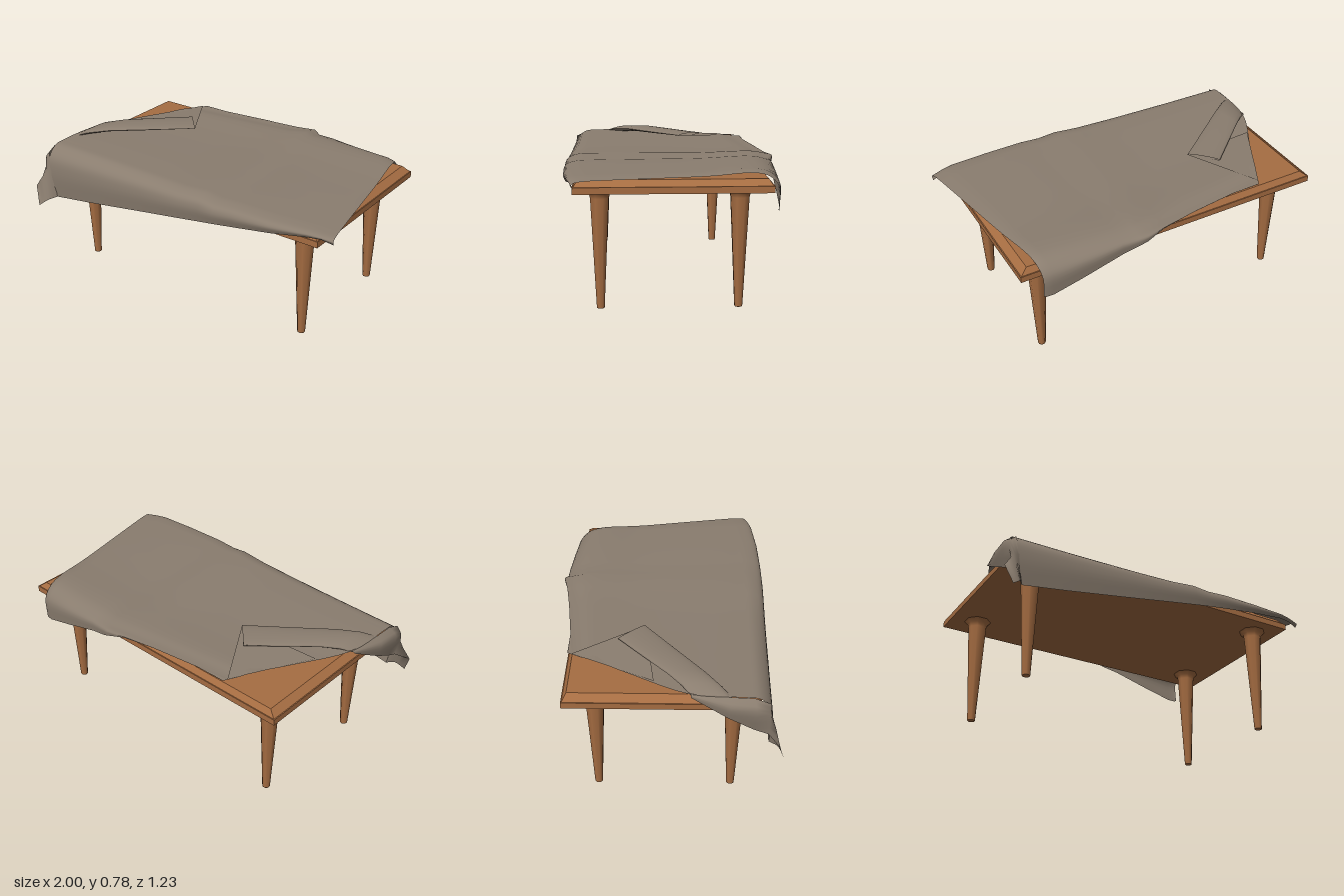
import * as THREE from 'three';

const wood = new THREE.MeshStandardMaterial({ color: 0xa66d42 });
wood.name = 'warm wood';
const fabric = new THREE.MeshStandardMaterial({ color: 0x8a7d6f, side: THREE.DoubleSide });
fabric.name = 'taupe cloth';

const lerp = THREE.MathUtils.lerp;
const V = (x, y, z) => new THREE.Vector3(x, y, z);

// Surface through rows of points; each row is smoothed into `steps` pieces
function skin(rows, steps) {
  const pos = [], index = [];
  rows.forEach((row, i) => {
    const pts = row.length > 2 ? new THREE.CatmullRomCurve3(row).getPoints(steps) : row;
    const n = pts.length;
    pts.forEach((p, j) => {
      pos.push(p.x, p.y, p.z);
      if (i && j) {
        const a = (i - 1) * n + j - 1, b = a + 1, c = a + n, d = c + 1;
        index.push(a, b, c, b, d, c);
      }
    });
  });
  const g = new THREE.BufferGeometry();
  g.setAttribute('position', new THREE.Float32BufferAttribute(pos, 3));
  g.setIndex(index);
  g.computeVertexNormals();
  return g;
}

function add(parent, name, geometry, material) {
  const mesh = new THREE.Mesh(geometry, material);
  mesh.name = name;
  parent.add(mesh);
  return mesh;
}

function buildTable() {
  const table = new THREE.Group();
  table.name = 'table';

  // Slab with a sloped upper border
  add(table, 'tabletopSlab', new THREE.BoxGeometry(1.81, 0.035, 1.02), wood).position.set(0, 0.652, -0.02);
  let bevel = new THREE.CylinderGeometry(Math.SQRT1_2 * 0.955, Math.SQRT1_2, 0.032, 4);
  bevel.rotateY(Math.PI / 4);
  bevel.scale(1.8, 1, 1.01);
  bevel = bevel.toNonIndexed();
  bevel.computeVertexNormals();
  add(table, 'tabletopBevel', bevel, wood).position.set(0, 0.685, -0.02);

  // Tapered legs flaring into the underside
  const profile = [[0, 0], [0.021, 0], [0.022, 0.002], [0.052, 0.59], [0.058, 0.615], [0.08, 0.637]]
    .map(([r, y]) => new THREE.Vector2(r, y));
  const leg = new THREE.LatheGeometry(profile, 8);
  leg.rotateY(Math.PI / 8);
  for (const x of [-0.75, 0.75])
    for (const z of [0.355, -0.37]) add(table, z > 0 ? 'frontLeg' : 'backLeg', leg, wood).position.set(x, 0, z);
  return table;
}

function buildCloth() {
  const cloth = new THREE.Group();
  cloth.name = 'cloth';

  // Sections: back x, front x, back hem y and z, top y, front z, front hem y
  const sections = [
    [-0.57, -0.88, 0.73, -0.50, 0.73, 0.548, 0.41],
    [-0.38, -0.62, 0.73, -0.525, 0.728, 0.55, 0.45],
    [-0.1, -0.2, 0.728, -0.56, 0.726, 0.553, 0.52],
    [0.1, 0.05, 0.715, -0.59, 0.726, 0.557, 0.562],
    [0.21, 0.2, 0.69, -0.615, 0.738, 0.558, 0.587],
    [0.25, 0.3, 0.665, -0.60, 0.724, 0.558, 0.603],
    [0.35, 0.42, 0.645, -0.596, 0.732, 0.555, 0.622],
    [0.58, 0.65, 0.575, -0.588, 0.728, 0.545, 0.657],
    [0.75, 0.86, 0.525, -0.578, 0.728, 0.52, 0.69],
    [0.79, 0.93, 0.52, -0.57, 0.722, 0.505, 0.692],
    [0.80, 0.995, 0.525, -0.565, 0.716, 0.49, 0.675],
  ];
  const rows = sections.map(([xb, xf, yb, zb, top, zf, yf], i) => {
    const back = top - yb, front = top - yf;
    const pts = [
      [yb, zb], [top - back * 0.35, zb], [top - back * 0.08, zb + 0.045], [top + 0.008, zb + 0.12],
      [top, -0.2], [top, 0.13], [top, zf - 0.15], [top - front * 0.03, zf - 0.07],
      [top - front * 0.2, zf - 0.015], [top - front * 0.5, zf], [yf, zf - 0.012],
    ];
    return pts.map(([y, z]) => {
      // The first section follows the slanting fold, then the table side
      const x = i ? lerp(xb, xf, (z - zb) / (zf - zb)) : Math.max(-0.92, xb - 0.524 * (z - zb));
      return V(i === 0 && y < 0.65 ? lerp(-0.88, -0.92, (y - 0.41) / 0.24) : x, y, z);
    });
  });
  add(cloth, 'mainDrape', skin(rows, 44), fabric);

  // Side overhang ending in a flared corner
  const side = [
    [V(-0.9, 0.73, 0.13), V(-0.908, 0.726, 0.13), V(-0.915, 0.72, 0.13)],
    [V(-0.92, 0.73, 0.33), V(-0.955, 0.69, 0.33), V(-0.94, 0.61, 0.32)],
    [V(-0.92, 0.725, 0.45), V(-0.965, 0.68, 0.46), V(-0.94, 0.54, 0.45)],
    [V(-0.92, 0.69, 0.535), V(-0.955, 0.65, 0.53), V(-0.93, 0.5, 0.53)],
    [V(-0.9, 0.58, 0.547), V(-0.94, 0.56, 0.56), V(-1, 0.47, 0.585)],
    [V(-0.88, 0.41, 0.537), V(-0.91, 0.4, 0.585), V(-0.96, 0.36, 0.615)],
  ];
  add(cloth, 'sideDrape', skin(side, 6), fabric);

  // Turned-back underlayer beside the roll
  const corner = V(-0.57, 0.735, -0.5);
  add(cloth, 'turnedCorner', skin([[corner, V(-0.8, 0.735, -0.06)], [corner, V(-0.34, 0.76, -0.12)]], 1), fabric);

  // Flattened roll lying diagonally across the cloth
  const rings = [
    // t, centre height, half thickness
    [0, 0.722, 0.012], [0.12, 0.745, 0.02], [0.3, 0.758, 0.018], [0.65, 0.76, 0.014], [1, 0.763, 0.008],
  ].map(([t, y, h]) => Array.from({ length: 17 }, (_, k) => {
    const a = k / 16 * Math.PI * 2, c = Math.cos(a);
    return V(
      lerp(-0.91, -0.405, t) + c * lerp(-0.01, 0.065, t),
      y + Math.sin(a) * h,
      lerp(0.235, -0.19, t) + c * lerp(0.105, 0.07, t));
  }));
  add(cloth, 'foldedRoll', skin(rings, 16), fabric);
  return cloth;
}

export function createModel() {
  const model = new THREE.Group();
  model.name = 'drapedTable';
  model.add(buildTable(), buildCloth());
  return model;
}
